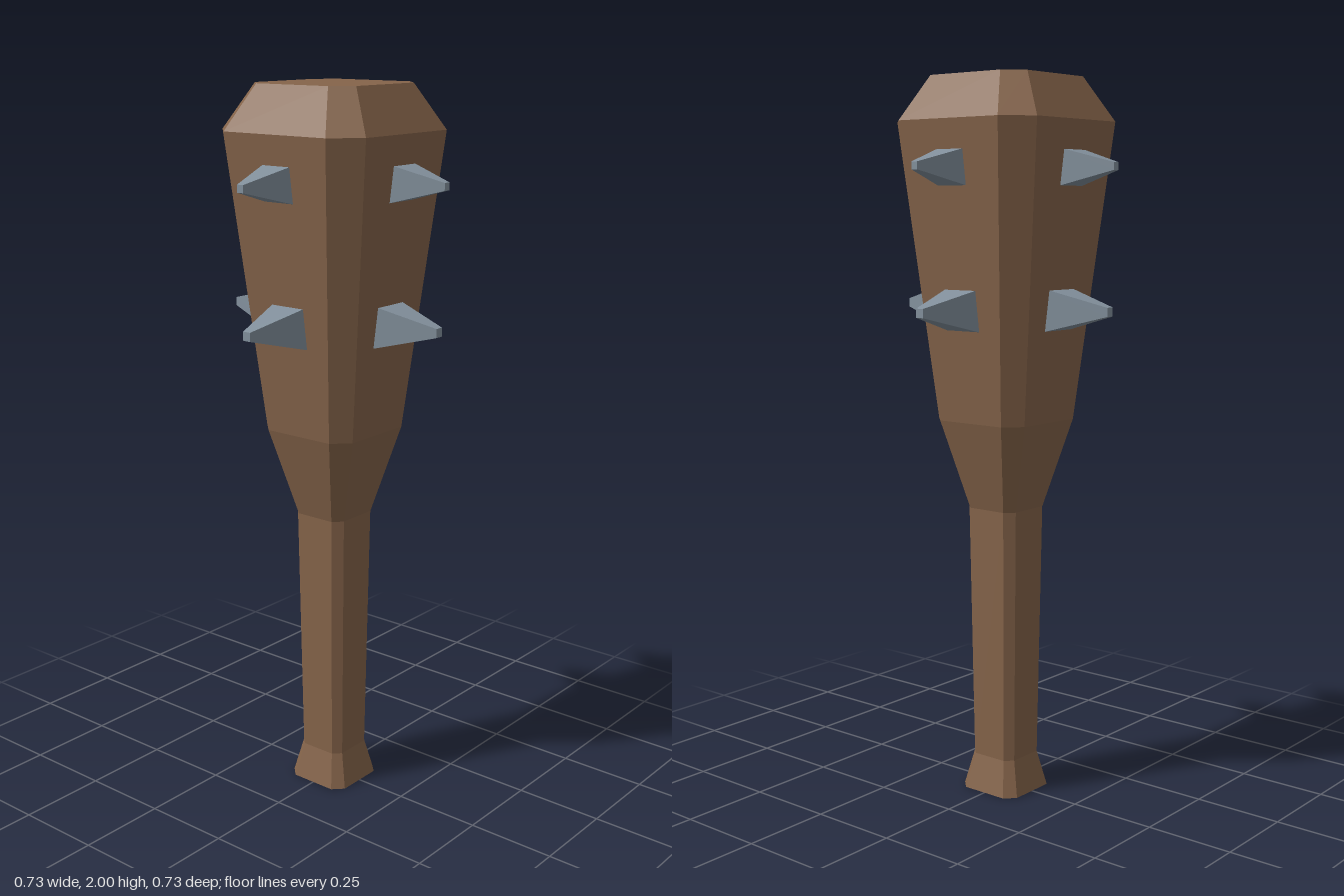
import * as THREE from 'three';

const wood = new THREE.MeshStandardMaterial({ color: 0x85644a, flatShading: true });
wood.name = 'wood';
const steel = new THREE.MeshStandardMaterial({ color: 0x82909c, flatShading: true });
steel.name = 'steel';

// Square with chamfered corners, counter-clockwise seen from above
function ring([y, a]) {
  const b = a * 0.707;
  return [[a, b], [a, -b], [b, -a], [-b, -a], [-a, -b], [-a, b], [-b, a], [b, a]]
    .map(([x, z]) => [x, y, z]);
}

// Skin a stack of [height, half width] sections and cap both ends
function loft(sections) {
  const rings = sections.map(ring);
  const points = [];
  const n = 8;
  for (let r = 0; r < rings.length - 1; r++) {
    for (let i = 0; i < n; i++) {
      const j = (i + 1) % n;
      const a = rings[r][i], b = rings[r][j], c = rings[r + 1][j], d = rings[r + 1][i];
      points.push(a, b, c, a, c, d);
    }
  }
  const bottom = rings[0], top = rings[rings.length - 1];
  for (let i = 1; i < n - 1; i++) {
    points.push(top[0], top[i], top[i + 1], bottom[0], bottom[i + 1], bottom[i]);
  }
  const geometry = new THREE.BufferGeometry();
  geometry.setAttribute('position', new THREE.Float32BufferAttribute(points.flat(), 3));
  geometry.computeVertexNormals();
  return geometry;
}

// Blunt four-sided spike pointing along +z, from z = start to z = tip
function spikeGeometry(start, tip, baseHalf, tipHalf) {
  const geometry = new THREE.CylinderGeometry(
    tipHalf * Math.SQRT2, baseHalf * Math.SQRT2, tip - start, 4, 1);
  geometry.rotateY(Math.PI / 4);
  geometry.rotateX(Math.PI / 2);
  geometry.translate(0, 0, (start + tip) / 2);
  return geometry;
}

export function createModel() {
  const model = new THREE.Group();
  model.name = 'spikedClub';

  // Flared pommel, slim grip, widening head and bevelled top
  const club = new THREE.Mesh(loft([
    [0, 0.097], [0.1, 0.073], [0.82, 0.084], [1.07, 0.153], [1.88, 0.242], [2, 0.17],
  ]), wood);
  club.name = 'clubBody';
  model.add(club);

  // Two rows of spikes, one on each broad face
  const rows = [
    { name: 'lowerSpike', y: 1.38, geometry: spikeGeometry(0.16, 0.352, 0.062, 0.012) },
    { name: 'upperSpike', y: 1.756, geometry: spikeGeometry(0.205, 0.367, 0.053, 0.01) },
  ];
  for (const { name, y, geometry } of rows) {
    ['Front', 'Left', 'Back', 'Right'].forEach((side, i) => {
      const spike = new THREE.Mesh(geometry, steel);
      spike.name = name + side;
      spike.position.y = y;
      spike.rotation.y = i * Math.PI / 2;
      model.add(spike);
    });
  }
  return model;
}
